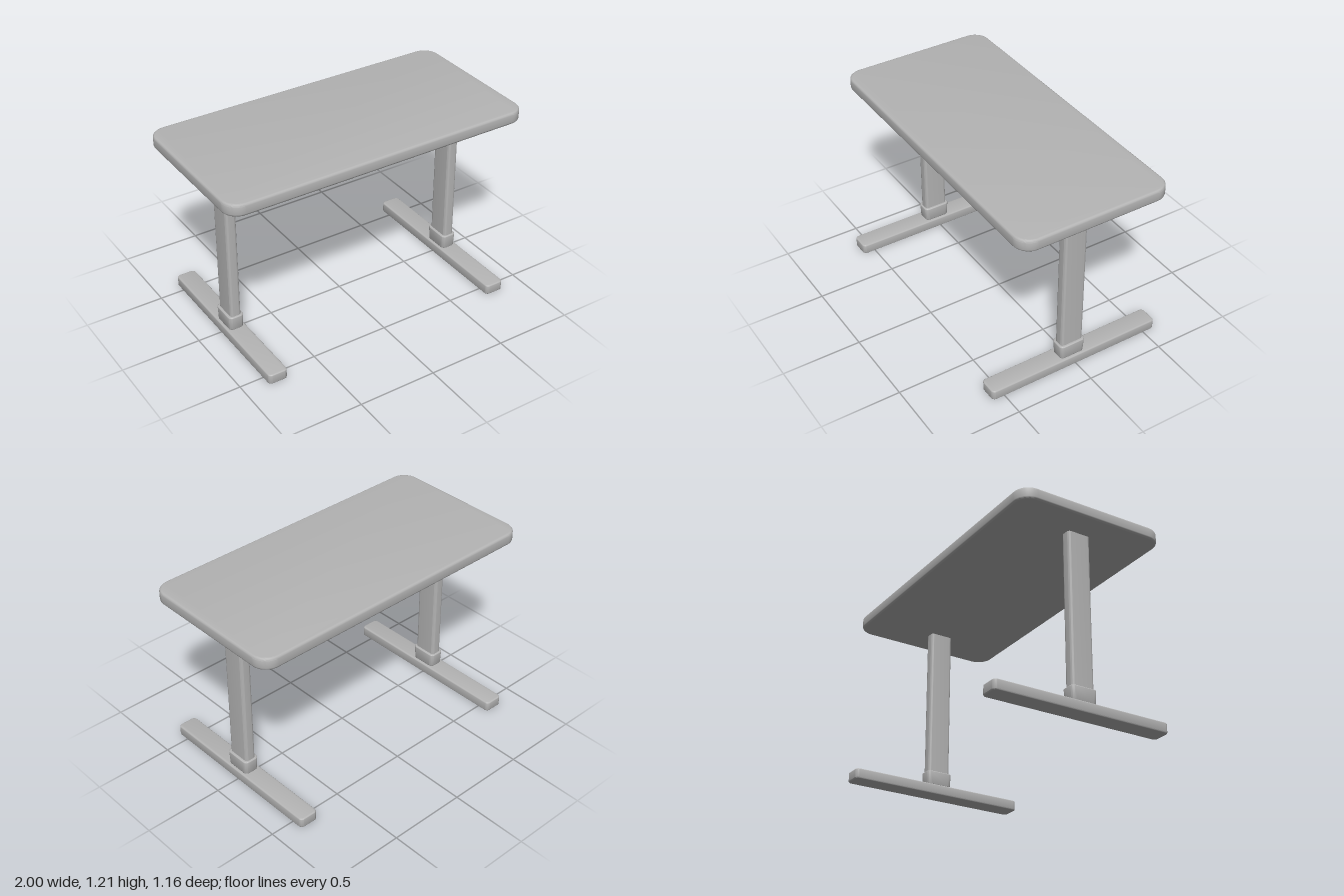
import * as THREE from 'three';
import { toCreasedNormals } from 'three/addons/utils/BufferGeometryUtils.js';

// Upright slab with rounded corners in plan and softened top and bottom edges
function roundedSlab(width, height, depth, radius, bevel, taper = 1) {
  const x = width / 2 - radius, z = depth / 2 - radius;
  const shape = new THREE.Shape();
  shape.absarc(x, z, radius, 0, Math.PI / 2);
  shape.absarc(-x, z, radius, Math.PI / 2, Math.PI);
  shape.absarc(-x, -z, radius, Math.PI, Math.PI * 1.5);
  shape.absarc(x, -z, radius, Math.PI * 1.5, Math.PI * 2);
  const geometry = new THREE.ExtrudeGeometry(shape, {
    depth: height - 2 * bevel,
    bevelEnabled: bevel > 0,
    bevelThickness: bevel,
    bevelSize: bevel,
    bevelOffset: -bevel,
    bevelSegments: 3,
    curveSegments: 8,
  });
  geometry.translate(0, 0, bevel).rotateX(-Math.PI / 2);

  // Narrow the sides towards the bottom
  const p = geometry.attributes.position;
  for (let i = 0; i < p.count; i++) {
    const s = THREE.MathUtils.lerp(taper, 1, p.getY(i) / height);
    p.setX(i, p.getX(i) * s);
    p.setZ(i, p.getZ(i) * s);
  }
  return toCreasedNormals(geometry, 0.7);
}

export function createModel() {
  const desk = new THREE.Group();
  desk.name = 'desk';
  const grey = new THREE.MeshStandardMaterial({ color: 0xb4b4b4 });
  grey.name = 'grey';

  const add = (parent, name, geometry, x, y, z) => {
    const mesh = new THREE.Mesh(geometry, grey);
    mesh.name = name;
    mesh.position.set(x, y, z);
    parent.add(mesh);
  };

  // Tabletop
  add(desk, 'tabletop', roundedSlab(2, 0.076, 0.98, 0.1, 0.015), 0, 1.131, 0);

  // Two T-shaped legs: floor foot, collar and column
  const foot = roundedSlab(0.125, 0.065, 1.16, 0.025, 0.008);
  const collar = roundedSlab(0.1, 0.094, 0.174, 0.026, 0.007, 0.94);
  const column = roundedSlab(0.07, 0.99, 0.15, 0.018, 0);
  for (const side of [-1, 1]) {
    const leg = new THREE.Group();
    leg.name = side > 0 ? 'leftLeg' : 'rightLeg';
    leg.position.x = side * 0.787;
    add(leg, 'foot', foot, 0, 0, 0);
    add(leg, 'collar', collar, 0, 0.063, 0.015);
    add(leg, 'column', column, 0, 0.145, 0.015);
    desk.add(leg);
  }
  return desk;
}
